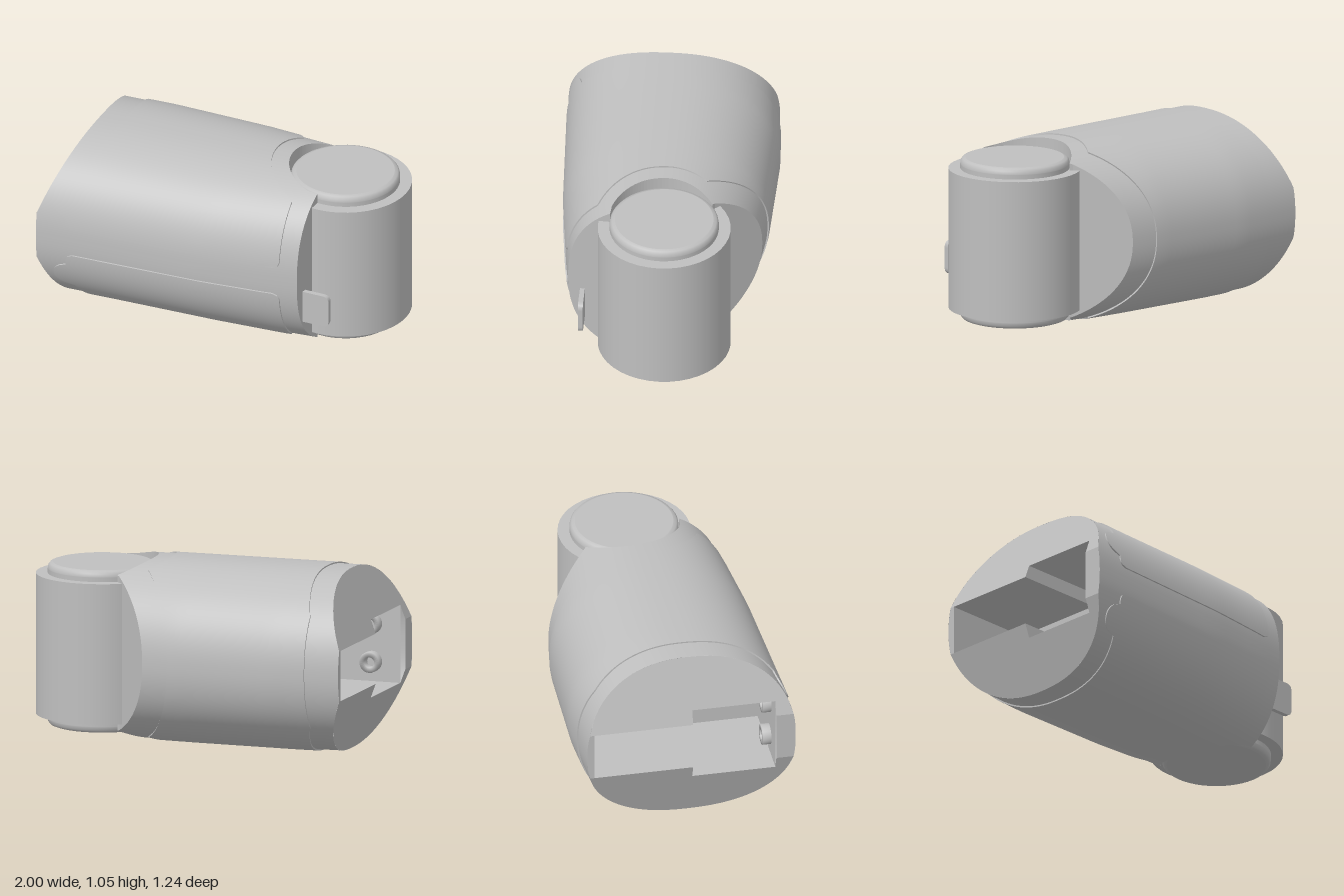
import * as THREE from 'three';

const CY = 0.53, HALF = 0.527, BASE = -0.008;
const JX = 0.6225, JZ = -0.06; // axis of the swivel joint
const TAU = Math.PI * 2;

// Double-sided because the housing is built from open surfaces
const grey = new THREE.MeshStandardMaterial({ color: 0xbfbfbf, side: THREE.DoubleSide });
grey.name = 'grey';

// Piecewise linear lookup
function lerpTable(table, x) {
  for (let i = 1; i < table.length; i++) {
    const [x0, v0] = table[i - 1], [x1, v1] = table[i];
    if (x <= x1 || i === table.length - 1) return v0 + (v1 - v0) * (x - x0) / (x1 - x0);
  }
}
const frontZ = (x) => lerpTable([[-1, 0.62], [0, 0.568], [0.4, 0.524], [0.59, 0.495]], x);
const backZ = (x) => lerpTable([[-1, -0.6], [-0.6, -0.625], [0, -0.612], [0.2, -0.59], [0.59, -0.55]], x);

// Point on the housing: rounded oval section at x, fuller in front; angle runs from the front upward
const fullness = (front) => (front ? 2.4 : 2.2);
function skin(x, a, off) {
  const f = frontZ(x), b = backZ(x), c = Math.cos(a), s = Math.sin(a);
  const e = 2 / fullness(c > 0);
  return new THREE.Vector3(x, CY + (HALF + off) * Math.sign(s) * Math.abs(s) ** e,
    (f + b) / 2 + ((f - b) / 2 + off) * Math.sign(c) * Math.abs(c) ** e);
}

// Tail end: flat middle, chamfered above and below
const tailX = (dy) => -1 + 0.14 * Math.max(0, Math.abs(dy) - 0.145) / 0.375;

// Joint end, seen from above: slanted edge, round seat, front lip
function headX(z) {
  if (z < -0.32) return Math.max(0.17, 0.43 + (z + 0.32) * 0.92);
  if (z < 0.25) return JX - Math.sqrt(0.32 ** 2 - (z - JZ) ** 2);
  return 0.59 - (z - 0.25) * 0.07;
}

// Panel edges, with rounded corners in front and a finger notch at the tail
function corner(dy) {
  const t = Math.abs(dy) - 0.085, r = 0.04;
  return t < r ? r - Math.sqrt(Math.max(0, r * r - (r - t) ** 2)) : 0;
}
function panelHeadX(z, dy) {
  if (z < -0.28) return 0.261 + (z + 0.28) * 0.7;
  const x = Math.min(0.47, JX - Math.sqrt(Math.max(0, 0.42 ** 2 - (z - JZ) ** 2)));
  return z > 0.3 ? x - corner(dy) : x;
}
function panelTailX(z, dy) {
  const t = Math.abs(dy), u = t - 0.237;
  if (t > 0.32) return -0.8 + 0.08 * (t - 0.32) / 0.207;
  if (z < 0) return -0.8;
  if (Math.abs(u) < 0.078) return -0.82 - 1.1 * Math.sqrt(0.078 ** 2 - u * u);
  return -0.82 + corner(dy);
}

// x where the skin meets an end that depends on z
function meet(fn, a, off) {
  let x = 0.3;
  for (let i = 0; i < 12; i++) {
    const p = skin(x, a, off);
    x = fn(p.z, p.y - CY);
  }
  return x;
}

// Surface through rows of points
function grid(rows, flat = false) {
  const cols = rows[0].length, index = [];
  for (let i = 0; i < rows.length - 1; i++) {
    for (let j = 0; j < cols - 1; j++) {
      const a = i * cols + j, d = a + cols;
      index.push(a, a + 1, d + 1, a, d + 1, d);
    }
  }
  let g = new THREE.BufferGeometry().setFromPoints(rows.flat());
  g.setIndex(index);
  if (flat) g = g.toNonIndexed();
  g.computeVertexNormals();
  return g;
}

const range = (n, fn) => Array.from({ length: n + 1 }, (_, i) => fn(i / n));

export function createModel() {
  const root = new THREE.Group();
  const add = (name, geometry, parent = root) => {
    const m = new THREE.Mesh(geometry, grey);
    m.name = name;
    parent.add(m);
    return m;
  };

  // Housing skin
  const housing = new THREE.Group();
  housing.name = 'housing';
  root.add(housing);
  add('housingSkin', grid(range(240, (k) => {
    const a = k * TAU;
    const x0 = tailX(skin(0, a, BASE).y - CY), x1 = meet(headX, a, BASE);
    return range(16, (t) => skin(x0 + (x1 - x0) * t, a, BASE));
  })), housing);

  // Upright wall closing the joint end
  const wallRow = (s) => range(120, (k) => {
    const a = k * Math.PI;
    return skin(meet(headX, a, BASE), s * a, BASE);
  });
  add('jointWall', grid([wallRow(-1), wallRow(1)], true), housing);

  // Tail face, built in level bands around the stepped opening
  const top = HALF + BASE;
  const upper = [0.07, 0.145, ...range(14, (t) => 0.225 + (top - 0.225) * Math.sin(t * Math.PI / 2))];
  const levels = [...upper.map((v) => -v).reverse(), 0, ...upper];
  const opening = (t) => (t < 0.145 ? [-0.55, 0.5] : t < 0.225 ? [0.02, 0.5] : null);
  const tail = new THREE.Group();
  tail.name = 'tailFace';
  housing.add(tail);
  const tailEdge = (dy, side) => {
    const a = Math.asin(Math.min(1, Math.abs(dy) / top) ** (fullness(side > 0) / 2));
    return skin(tailX(dy), side > 0 ? a : Math.PI - a, BASE).z;
  };
  for (let i = 0; i < levels.length - 1; i++) {
    const y0 = levels[i], y1 = levels[i + 1];
    const hole = opening(Math.abs(y0 + y1) / 2);
    const ends = (dy) => [tailEdge(dy, -1), ...(hole || []), tailEdge(dy, 1)];
    const rows = [y0, y1].map((dy) => ends(dy).map((z) => new THREE.Vector3(tailX(dy), CY + dy, z)));
    const pieces = hole ? [[0, 2], [2, 4]] : [[0, 2]];
    for (const [s, e] of pieces) add('tailBand', grid(rows.map((r) => r.slice(s, e)), true), tail);
  }

  // Cavity walls and floor behind the opening
  const outline = [[-0.55, -0.145], [0.02, -0.145], [0.02, -0.225], [0.5, -0.225],
    [0.5, 0.225], [0.02, 0.225], [0.02, 0.145], [-0.55, 0.145], [-0.55, -0.145]];
  const ring = (xAt) => outline.map(([z, dy]) => new THREE.Vector3(xAt(dy), CY + dy, z));
  add('cavityWalls', grid([ring(() => -0.45), ring(tailX)], true), housing);
  const cavityBack = add('cavityBack', new THREE.ShapeGeometry(
    new THREE.Shape(outline.map(([z, dy]) => new THREE.Vector2(-z, dy)))), housing);
  cavityBack.rotation.y = Math.PI / 2;
  cavityBack.scale.z = -1;
  cavityBack.position.set(-0.45, CY, 0);

  // Screw bosses on the cavity side wall
  for (const dy of [-0.11, 0.11]) {
    const boss = add('screwBoss', new THREE.LatheGeometry(
      [[0.06, 0], [0.06, 0.05], [0.03, 0.05], [0.03, 0]].map(([r, y]) => new THREE.Vector2(r, y)), 24), housing);
    boss.rotation.x = -Math.PI / 2;
    boss.position.set(-0.8, CY + dy, 0.5);
  }

  // Raised panel wrapping over the top, back and underside
  const cover = new THREE.Group();
  cover.name = 'coverPanel';
  root.add(cover);
  const a0 = Math.asin((0.085 / HALF) ** (fullness(true) / 2));
  const lines = range(320, (k) => {
    const a = a0 + k * (TAU - 2 * a0), p = skin(-0.8, a, 0);
    const x0 = panelTailX(p.z, p.y - CY), x1 = meet(panelHeadX, a, 0);
    return range(16, (t) => ({ x: x0 + (x1 - x0) * t, a }));
  });
  add('coverSkin', grid(lines.map((l) => l.map((p) => skin(p.x, p.a, 0)))), cover);
  const loop = [...lines[0], ...lines.map((l) => l[16]), ...lines[320].slice().reverse(),
    ...lines.map((l) => l[0]).reverse()];
  add('coverRim', grid([-0.02, 0].map((off) => loop.map((p) => skin(p.x, p.a, off))), true), cover);

  // Swivel joint: drum with a rounded hub showing at both ends
  const joint = new THREE.Group();
  joint.name = 'swivelJoint';
  joint.position.set(JX, 0, JZ);
  root.add(joint);
  add('drum', new THREE.CylinderGeometry(0.3775, 0.3775, 0.81, 40), joint).position.y = 0.533;
  const half = [[0, 0.468], [0.279, 0.468], [0.28, 0.468], [0.297, 0.462], [0.307, 0.45], [0.31, 0.433], [0.31, 0.43]];
  const profile = [...half.map(([r, y]) => [r, -y]), ...half.slice().reverse()];
  add('hub', new THREE.LatheGeometry(profile.map(([r, y]) => new THREE.Vector2(r, y)), 48), joint).position.y = 0.533;

  // Latch tab beside the drum
  const tab = new THREE.Shape();
  tab.moveTo(0.5, 0.25);
  tab.lineTo(0.7, 0.25);
  tab.quadraticCurveTo(0.74, 0.25, 0.74, 0.29);
  tab.lineTo(0.74, 0.405);
  tab.quadraticCurveTo(0.74, 0.445, 0.7, 0.445);
  tab.lineTo(0.5, 0.445);
  add('latchTab', new THREE.ExtrudeGeometry(tab, { depth: 0.028, bevelEnabled: false })).position.z = 0.394;

  return root;
}
